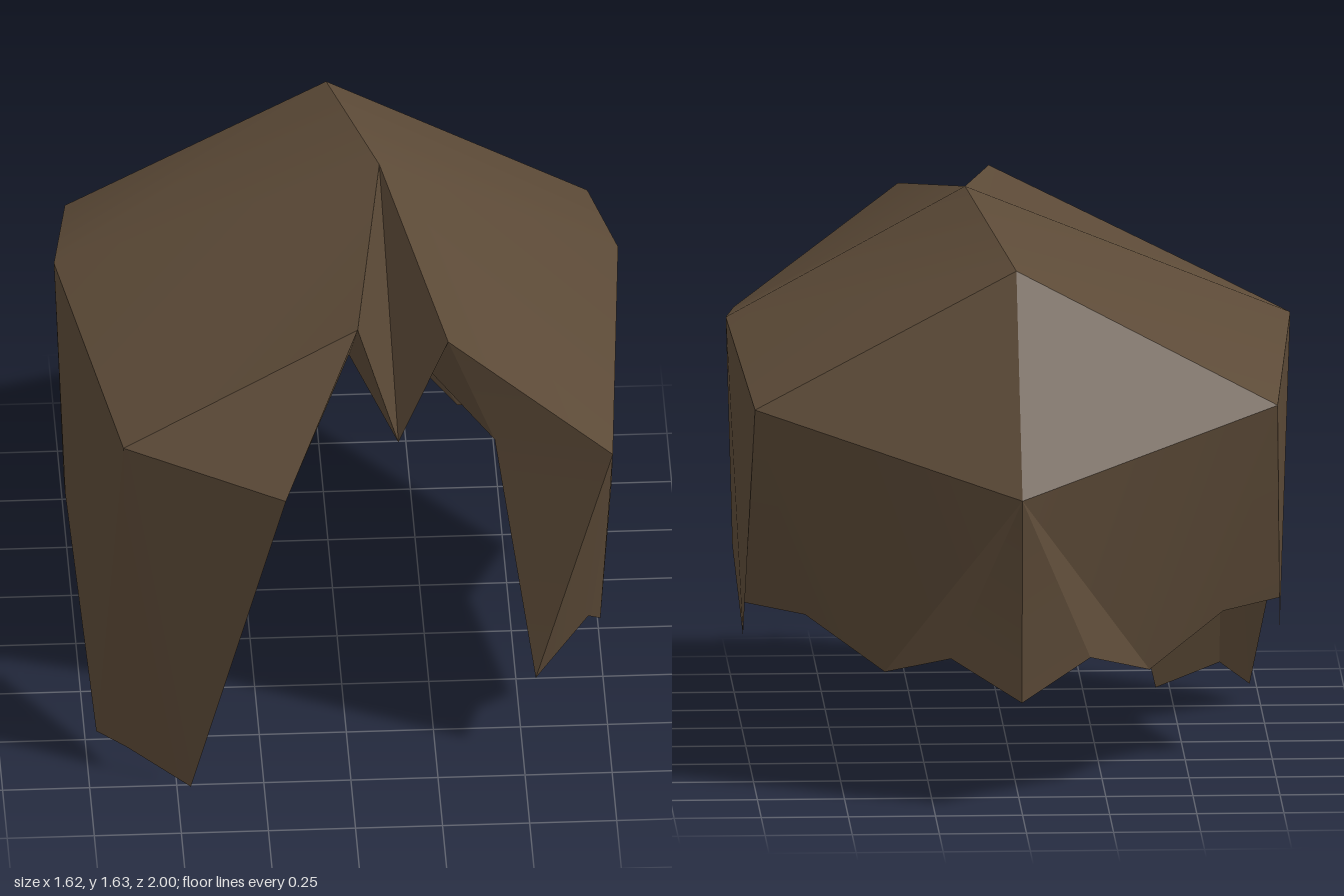
import * as THREE from 'three';
import { toCreasedNormals } from 'three/addons/utils/BufferGeometryUtils.js';

const hair = new THREE.MeshStandardMaterial({ color: 0x5c4a37, side: THREE.DoubleSide });
hair.name = 'brownHair';

const CENTRE = new THREE.Vector3(0, 0.8, 0);
const mirror = ([x, y, z]) => [-x, y, z];

// A sheet made of triangle fans; each fan is [hub, rim, rim, ...], faced away from the centre.
function sheet(name, fans) {
  const out = [];
  for (const [hub, ...rim] of fans) {
    for (let i = 0; i + 1 < rim.length; i++) {
      const [a, b, c] = [hub, rim[i], rim[i + 1]].map((p) => new THREE.Vector3(...p));
      const n = b.clone().sub(a).cross(c.clone().sub(a));
      const mid = a.clone().add(b).add(c).divideScalar(3).sub(CENTRE);
      for (const p of n.dot(mid) >= 0 ? [a, b, c] : [a, c, b]) out.push(p.x, p.y, p.z);
    }
  }
  const g = new THREE.BufferGeometry();
  g.setAttribute('position', new THREE.Float32BufferAttribute(out, 3));
  const mesh = new THREE.Mesh(toCreasedNormals(g, 0.5), hair);
  mesh.name = name;
  return mesh;
}

export function createModel() {
  const group = new THREE.Group();
  group.name = 'hair';

  // Crown ridge
  const peak = [0.12, 1.63, 0.02];
  const crownBack = [0, 1.51, -0.6];
  const partRight = [0.02, 1.54, 0.74];
  const partLeft = [0.28, 1.49, 0.74];
  const notch = [0.14, 1.11, 0.68];

  // Side corners
  const sideLeft = [0.81, 1.27, -0.06];
  const sideRight = mirror(sideLeft);
  const backLeft = [0.75, 1.11, -0.6];
  const backRight = mirror(backLeft);
  const nape = [0, 0.92, -1];

  // Front corners and lock tips
  const frontLeft = [0.75, 1.12, 0.79];
  const frontRight = [-0.655, 1.19, 0.79];
  const browLeft = [0.415, 1.13, 0.71];
  const browRight = [-0.2, 1.13, 1];
  const tipsLeft = [[0.535, 0.28, 0.67], [0.69, 0.435, 0.59], [0.73, 0.36, 0.49]];
  const tipsRight = [[-0.46, 0, 0.76], [-0.64, 0.09, 0.68], [-0.72, 0.055, 0.54]];

  // Top of the head
  group.add(sheet('crown', [
    [peak, partLeft, frontLeft, sideLeft],
    [peak, partRight, frontRight, sideRight],
    [crownBack, peak, sideLeft, backLeft],
    [crownBack, peak, sideRight, backRight],
    [crownBack, backLeft, nape, backRight],
  ]));

  // Parted fringe with a pointed notch
  const innerRight = [0, 1.39, 0.64];
  const innerLeft = [0.24, 1.31, 0.63];
  group.add(sheet('fringe', [
    [peak, partRight, notch, partLeft],
    [partRight, browRight, innerRight, notch],
    [partLeft, notch, innerLeft, browLeft],
  ]));

  // Front locks framing the face
  group.add(sheet('leftFrontLock', [[frontLeft, partLeft, browLeft, ...tipsLeft]]));
  group.add(sheet('rightFrontLock', [[frontRight, partRight, browRight, ...tipsRight]]));

  // Side panels
  const sideNotch = [0.785, 0.57, 0.08];
  const sideTip = [0.77, 0.38, -0.27];
  group.add(sheet('leftSide', [[sideLeft, frontLeft, tipsLeft[2], sideNotch, sideTip, backLeft]]));
  group.add(sheet('rightSide', [
    [sideRight, frontRight, tipsRight[2], mirror(sideNotch), mirror(sideTip), backRight],
  ]));

  // Back panel with a jagged hem, built as two mirrored halves
  const hem = [[0, 0.32, -0.96], [0.2, 0.435, -0.88], [0.38, 0.35, -0.65],
    [0.6, 0.48, -0.46], [0.77, 0.48, -0.28]];
  const half = [
    [nape, hem[0], hem[1], hem[2], backLeft],
    [backLeft, hem[2], hem[3], hem[4]],
  ];
  group.add(sheet('leftBack', half));
  group.add(sheet('rightBack', half.map((fan) => fan.map(mirror))));

  return group;
}
